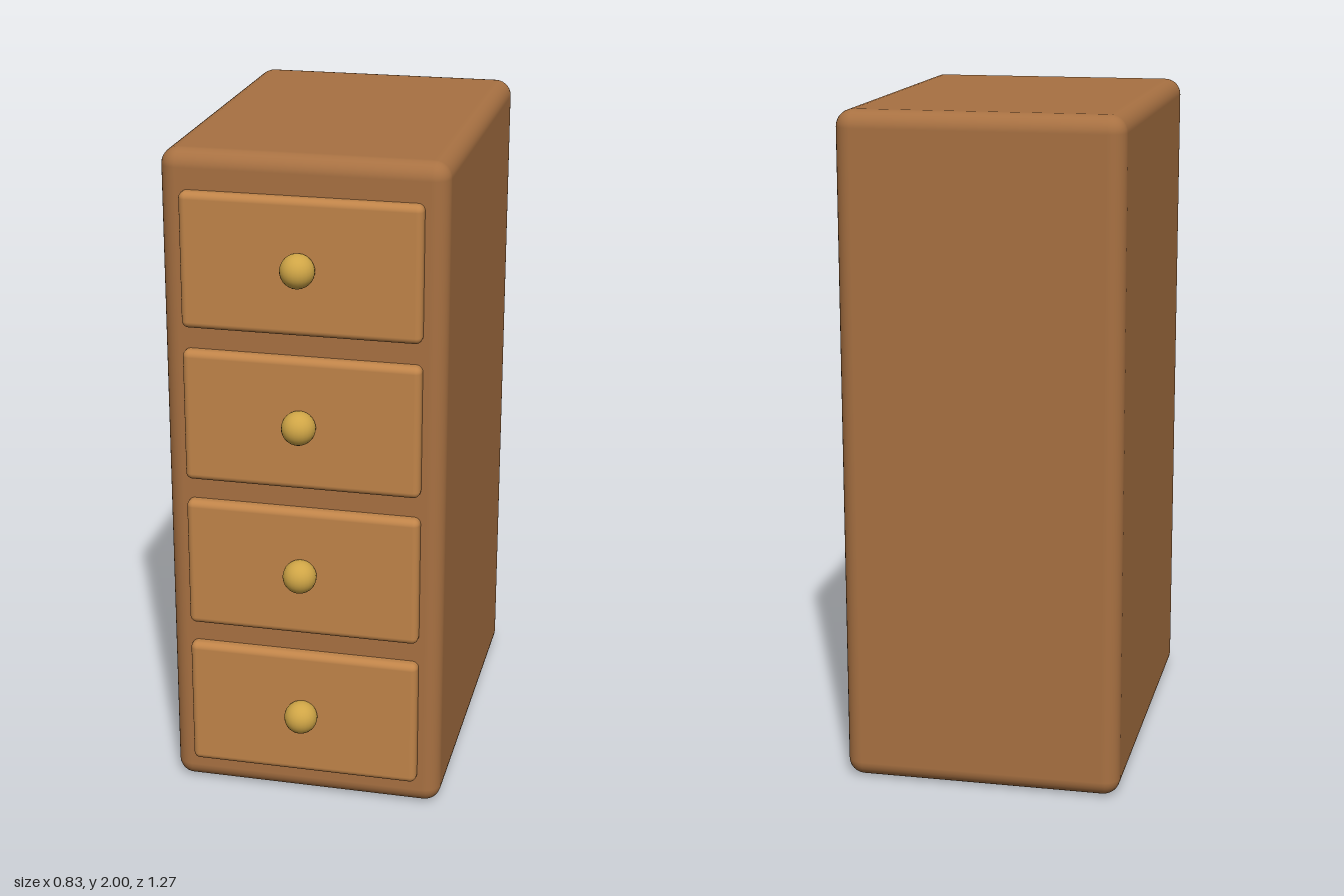
import * as THREE from 'three';
import { RoundedBoxGeometry } from 'three/addons/geometries/RoundedBoxGeometry.js';

export function createModel() {
  const group = new THREE.Group();
  const bodyWood = new THREE.MeshStandardMaterial({ color: 0xa87142 });
  const drawerWood = new THREE.MeshStandardMaterial({ color: 0xc08449 });
  const brass = new THREE.MeshStandardMaterial({ color: 0xcfa546 });

  const add = (parent, name, geometry, material, x, y, z) => {
    const mesh = new THREE.Mesh(geometry, material);
    mesh.name = name;
    mesh.position.set(x, y, z);
    parent.add(mesh);
  };

  // Cabinet body with softly rounded edges
  const body = new RoundedBoxGeometry(0.828, 2, 1.163, 4, 0.05);
  add(group, 'cabinetBody', body, bodyWood, 0, 1, -0.0515);

  // Four evenly spaced drawers, each with a round knob
  const front = new RoundedBoxGeometry(0.698, 0.4, 0.067, 4, 0.02);
  const knob = new THREE.SphereGeometry(0.05, 24, 16);
  for (let i = 0; i < 4; i++) {
    const drawer = new THREE.Group();
    drawer.name = `drawer${i + 1}`;
    drawer.position.y = 0.288 + i * 0.467;
    add(drawer, 'drawerFront', front, drawerWood, 0, 0, 0.53);
    add(drawer, 'drawerKnob', knob, brass, 0, 0, 0.583);
    group.add(drawer);
  }
  return group;
}
